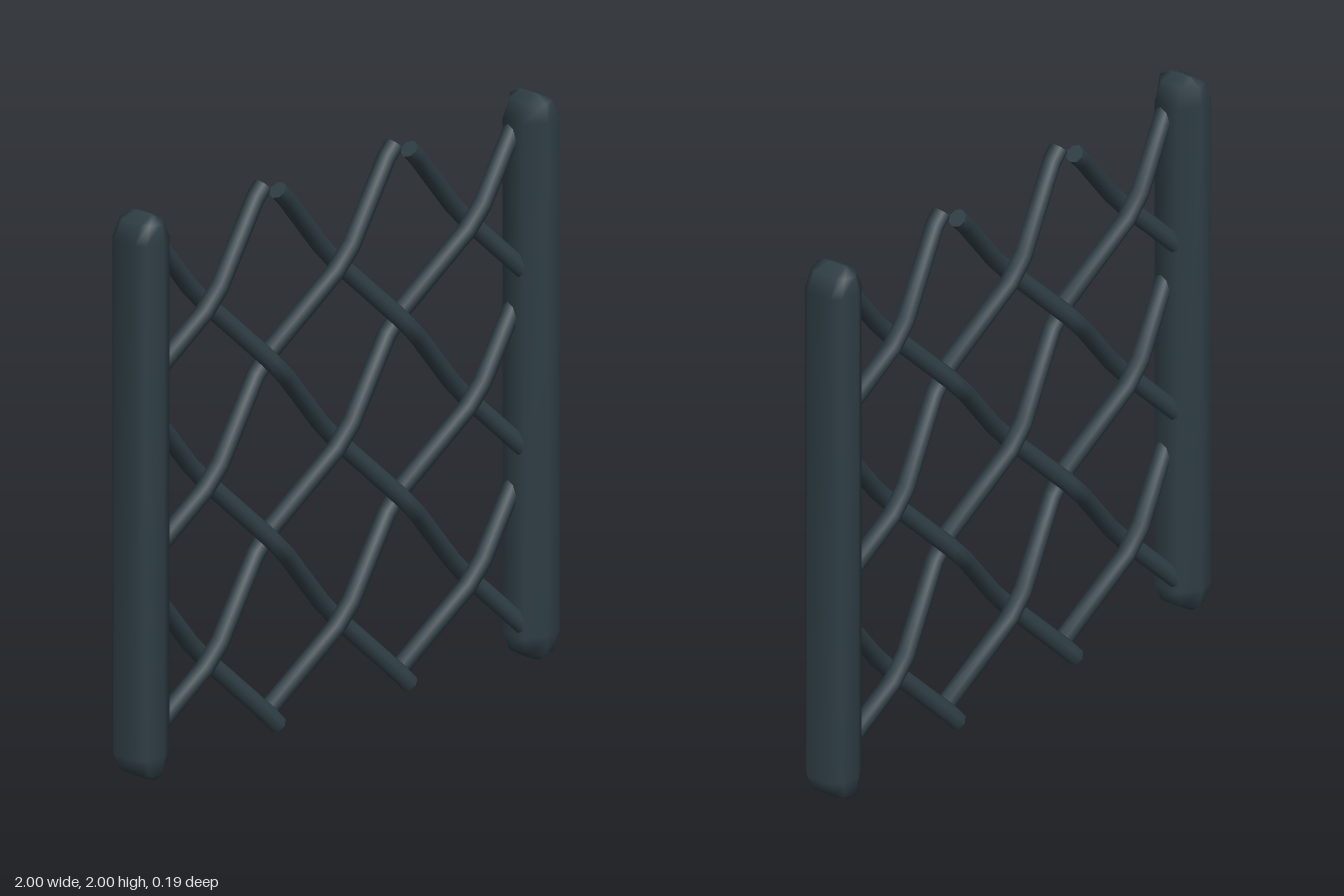
import * as THREE from 'three';

// Skin a list of rings (each counter-clockwise about the direction of travel) and close both ends.
function loft(rings, flatCaps) {
  const n = rings[0].length;
  const pos = [], index = [];
  rings.forEach(r => r.forEach(p => pos.push(p.x, p.y, p.z)));
  for (let i = 0; i < rings.length - 1; i++) {
    for (let k = 0; k < n; k++) {
      const a = i * n + k, b = i * n + (k + 1) % n;
      index.push(a, b, b + n, a, b + n, a + n);
    }
  }
  [0, rings.length - 1].forEach(i => {
    const ring = rings[i];
    let base = i * n;
    if (flatCaps) {
      base = pos.length / 3;
      ring.forEach(p => pos.push(p.x, p.y, p.z));
    }
    const c = new THREE.Vector3();
    ring.forEach(p => c.addScaledVector(p, 1 / n));
    const mid = pos.length / 3;
    pos.push(c.x, c.y, c.z);
    for (let k = 0; k < n; k++) {
      const a = base + k, b = base + (k + 1) % n;
      if (i === 0) index.push(mid, b, a);
      else index.push(mid, a, b);
    }
  });
  const g = new THREE.BufferGeometry();
  g.setAttribute('position', new THREE.Float32BufferAttribute(pos, 3));
  g.setIndex(index);
  g.computeVertexNormals();
  return g;
}

// Upright with an eight-sided section and tapered, ridged ends.
function postGeometry() {
  const half = [[0.835, 0.05], [0.905, 0.095], [0.975, 0.08], [1, 0.05]];
  const section = [...half, ...half.map(([x, z]) => [x, -z]).reverse()];
  const levels = [
    [0, 0.08, 0.55], [0.025, 0.62, 0.9], [0.09, 1, 1],
    [1.91, 1, 1], [1.975, 0.62, 0.9], [2, 0.08, 0.55],
  ];
  const cx = 0.908;
  return loft(levels.map(([y, sx, sz]) =>
    section.map(([x, z]) => new THREE.Vector3(cx + (x - cx) * sx, y, z * sz))), false);
}

// Falling diagonal bar between lattice columns i0 and i1, bending forward at odd columns and back at even ones.
const STEP_X = 0.31, STEP_Y = 0.315, WEAVE = 0.035, RADIUS = 0.033, SIDES = 8, BEND = 0.12;
function barGeometry(c, i0, i1) {
  const across = new THREE.Vector3(1, 1, 0).normalize();
  const rings = [];
  const addRing = (t, z) => {
    const ring = [];
    for (let k = 0; k < SIDES; k++) {
      const a = (k / SIDES) * Math.PI * 2;
      const p = new THREE.Vector3(t * STEP_X, 1 + (c - t) * STEP_Y, z + Math.sin(a) * RADIUS);
      ring.push(p.addScaledVector(across, Math.cos(a) * RADIUS));
    }
    rings.push(ring);
  };
  for (let i = i0; i <= i1; i++) {
    const z = i % 2 ? WEAVE : -WEAVE;
    if (i > i0) addRing(i - BEND, z);
    else addRing(i, z);
    if (i < i1) addRing(i + BEND, z);
    else addRing(i, z);
  }
  return loft(rings, true);
}

export function createModel() {
  const model = new THREE.Group();
  model.name = 'latticeFence';
  const iron = new THREE.MeshStandardMaterial({ color: 0x2f3e45 });
  iron.name = 'darkIron';

  // Posts and bars repeat under a half turn, which also swaps the weave.
  const post = postGeometry();
  const bars = [-4, -2, 0, 2, 4].map(c => barGeometry(c, Math.max(-3, c - 3), Math.min(3, c + 3)));
  [['left', 'falling', 0], ['right', 'rising', Math.PI]].forEach(([side, slope, turn]) => {
    const half = new THREE.Group();
    half.name = slope + 'Half';
    half.rotation.y = turn;
    const postMesh = new THREE.Mesh(post, iron);
    postMesh.name = side + 'Post';
    half.add(postMesh);
    bars.forEach((g, k) => {
      const bar = new THREE.Mesh(g, iron);
      bar.name = slope + 'Bar' + (k + 1);
      half.add(bar);
    });
    model.add(half);
  });
  return model;
}
